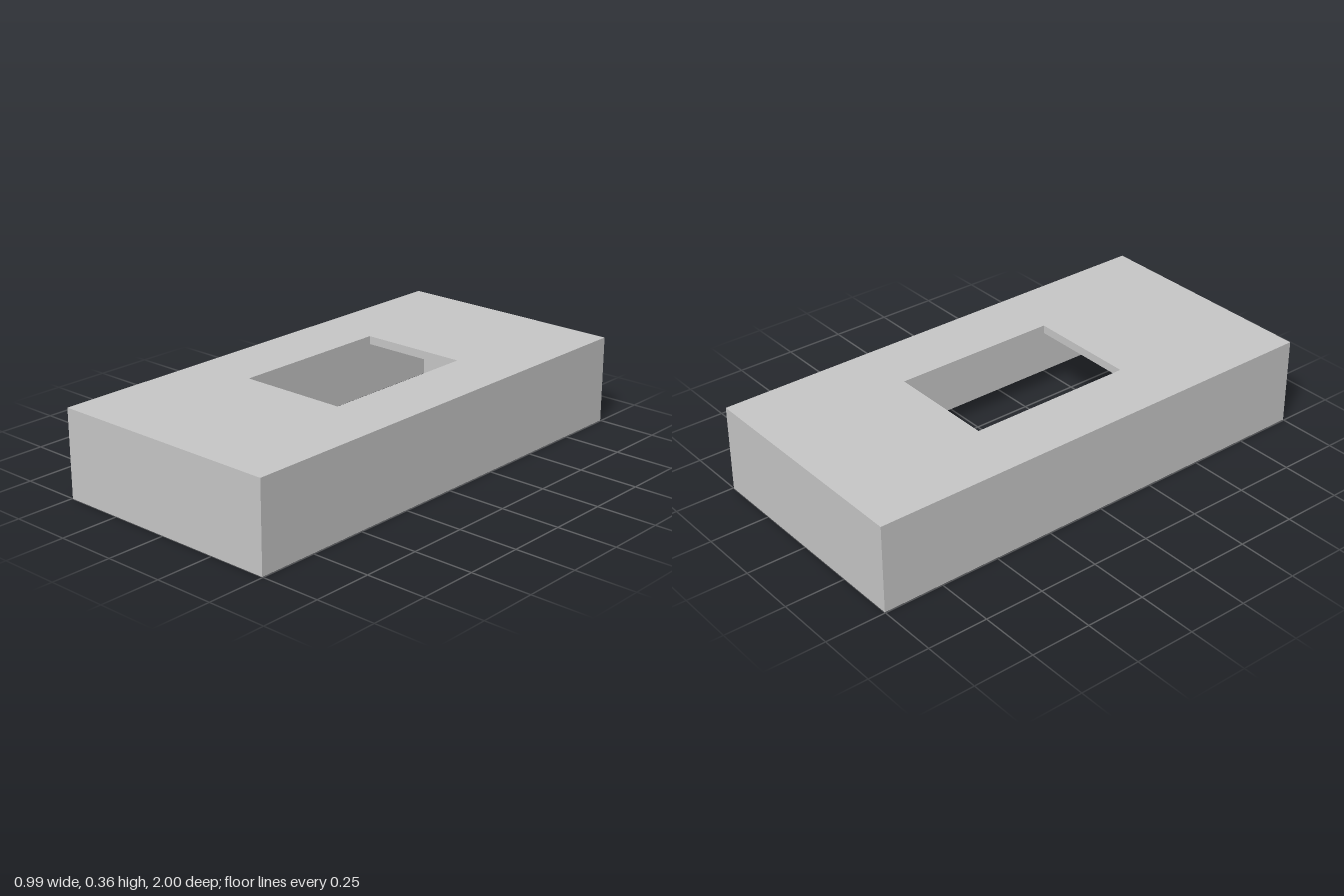
import * as THREE from 'three';

const W = 0.993, L = 2, H = 0.363; // outer size
const TOP = 0.034;                 // top panel thickness
const WALL_X = 0.067, WALL_Z = 0.036;

// Rectangle outline; shape y becomes -z once laid flat
function rect(Type, x0, x1, z0, z1) {
  const p = new Type();
  p.moveTo(x0, -z1);
  p.lineTo(x1, -z1);
  p.lineTo(x1, -z0);
  p.lineTo(x0, -z0);
  p.closePath();
  return p;
}

// Flat slab with a rectangular opening, rising from y
function frame(name, opening, y, height, material) {
  const shape = rect(THREE.Shape, -W / 2, W / 2, -L / 2, L / 2);
  shape.holes.push(rect(THREE.Path, ...opening));
  const geometry = new THREE.ExtrudeGeometry(shape, { depth: height, bevelEnabled: false });
  geometry.rotateX(-Math.PI / 2);
  geometry.translate(0, y, 0);
  const mesh = new THREE.Mesh(geometry, material);
  mesh.name = name;
  return mesh;
}

export function createModel() {
  const grey = new THREE.MeshStandardMaterial({ color: 0xc8c8c8 });
  grey.name = 'light grey';

  const group = new THREE.Group();
  group.name = 'openBottomCover';

  // Four side walls around the open underside
  const ix = W / 2 - WALL_X, iz = L / 2 - WALL_Z;
  group.add(frame('sideWalls', [-ix, ix, -iz, iz], 0, H - TOP, grey));

  // Top panel with its slightly offset window
  group.add(frame('topPanel', [-0.23, 0.23, -0.37, 0.33], H - TOP, TOP, grey));

  return group;
}
